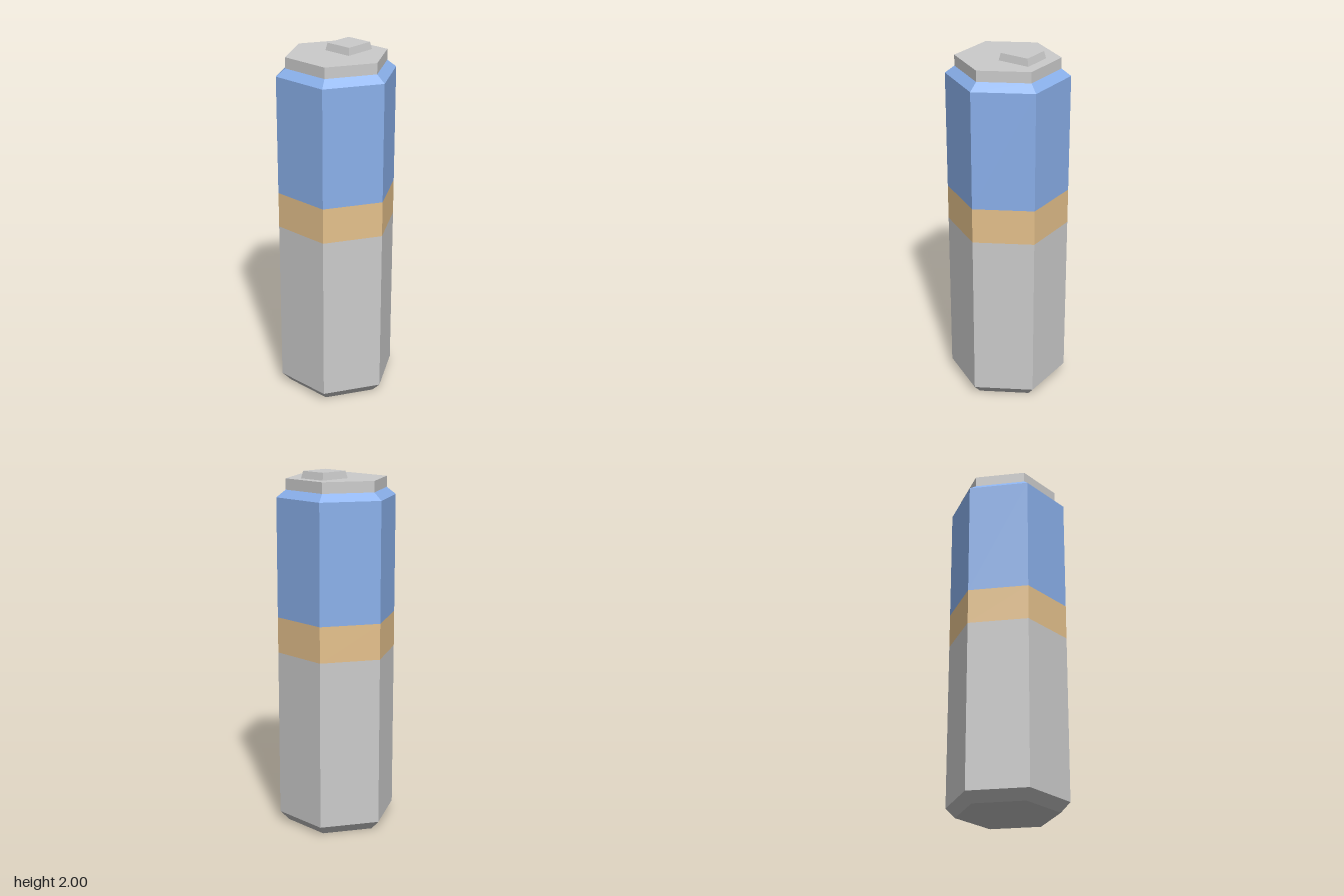
import * as THREE from 'three';

const GREY = 0xcccccc, BLUE = 0x8ab0eb, TAN = 0xe5c18c;
const R = 0.335, R_END = 0.283; // corner radii of the body and of its ends

const material = color => new THREE.MeshStandardMaterial({ color, flatShading: true });

// Hexagonal section from y0 to y1, with a corner pointing to the front
function hexSection(name, y0, y1, r0, r1, color, open = true) {
  const geometry = new THREE.CylinderGeometry(r1, r0, y1 - y0, 6, 1, open);
  geometry.translate(0, (y0 + y1) / 2, 0);
  const mesh = new THREE.Mesh(geometry, material(color));
  mesh.name = name;
  return mesh;
}

export function createModel() {
  const model = new THREE.Group();
  model.name = 'canister';

  // Body: chamfered foot, lower shell, stripe, upper shell, sloping shoulder
  model.add(
    hexSection('foot', 0, 0.055, R_END, R, GREY, false),
    hexSection('lowerBody', 0.055, 1, R, R, GREY),
    hexSection('stripe', 1, 1.2, R, R, TAN),
    hexSection('upperBody', 1.2, 1.86, R, R, BLUE),
    hexSection('shoulder', 1.86, 1.9, R, R_END, BLUE),
    hexSection('lid', 1.9, 1.96, R_END, R_END, GREY, false)
  );

  // Off-centre tab on the lid: a box with its top drawn in
  const tab = new THREE.BoxGeometry(0.185, 0.04, 0.168);
  const p = tab.attributes.position;
  for (let i = 0; i < p.count; i++) {
    if (p.getY(i) > 0) p.setXYZ(i, p.getX(i) * 0.9, p.getY(i), p.getZ(i) * 0.92);
  }
  tab.computeVertexNormals();
  const tabMesh = new THREE.Mesh(tab, material(GREY));
  tabMesh.name = 'lidTab';
  tabMesh.position.set(0.093, 1.98, 0);
  model.add(tabMesh);

  return model;
}
